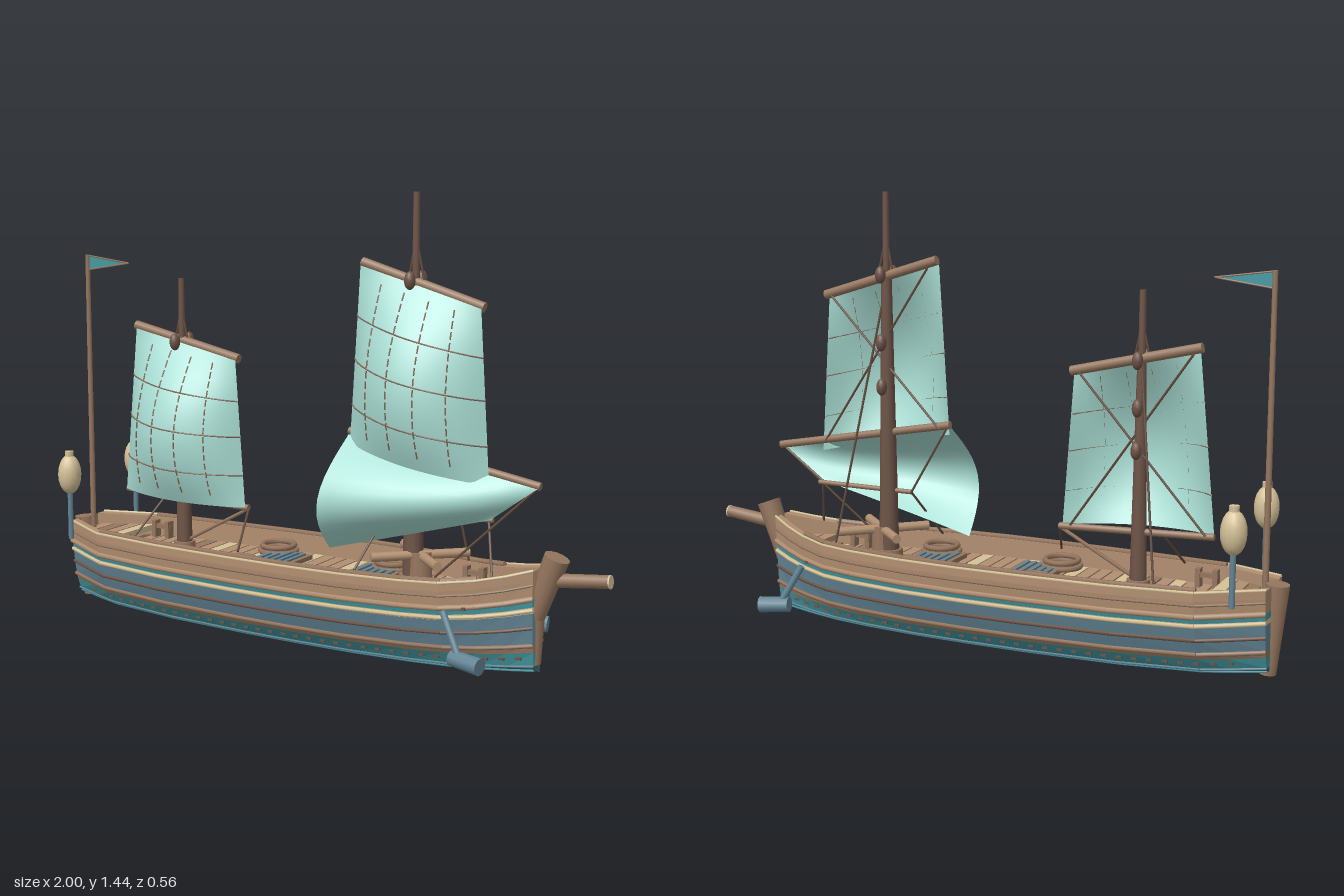
import * as THREE from 'three';
import { mergeGeometries } from 'three/addons/utils/BufferGeometryUtils.js';

const V = (x, y, z) => new THREE.Vector3(x, y, z);

export function createModel() {
  const model = new THREE.Group();
  const colours = {
    sailCloth: 0xaadfd5, teal: 0x43979f, slateBlue: 0x628494, timber: 0x95765e, darkTimber: 0x6e5447,
    cream: 0xd6c298, tan: 0xb18f71, bottomPaint: 0x38606a, seamThread: 0x8a6d5e, rope: 0x664e40,
  };
  const M = {};
  for (const [name, hex] of Object.entries(colours)) {
    M[name] = new THREE.MeshStandardMaterial({ color: hex });
    M[name].name = name;
  }
  for (const n of ['sailCloth', 'teal', 'slateBlue', 'timber', 'cream', 'tan', 'bottomPaint']) M[n].side = THREE.DoubleSide;

  const add = (name, geo, mat, pos) => {
    const m = new THREE.Mesh(geo, mat);
    m.name = name;
    if (pos) m.position.copy(pos);
    model.add(m);
  };
  // Tapered round pole between two points
  const pole = (a, b, r0, r1 = r0, sides = 10) => {
    const d = b.clone().sub(a);
    const g = new THREE.CylinderGeometry(r1, r0, d.length(), sides);
    g.applyQuaternion(new THREE.Quaternion().setFromUnitVectors(V(0, 1, 0), d.normalize()));
    const c = a.clone().add(b).multiplyScalar(0.5);
    return g.translate(c.x, c.y, c.z);
  };
  const addPole = (name, mat, a, b, r0, r1, sides) => add(name, pole(a, b, r0, r1, sides), mat);
  // Chain of poles along a row of points
  const chain = (pts, r) => mergeGeometries(pts.slice(1).map((p, i) => pole(pts[i], p, r, r, 6)));

  // Hull plan: half width at each station
  const plan = [[-0.955, 0], [-0.95, 0.09], [-0.85, 0.14], [-0.76, 0.183], [-0.5, 0.208], [-0.2, 0.22], [0, 0.222],
    [0.2, 0.214], [0.4, 0.188], [0.52, 0.163], [0.62, 0.124], [0.7, 0.086], [0.775, 0.045], [0.785, 0]];
  const width = (x) => {
    let i = 1;
    while (i < plan.length - 1 && plan[i][0] < x) i++;
    const [a, wa] = plan[i - 1], [b, wb] = plan[i];
    return Math.max(0, wa + (wb - wa) * (x - a) / (b - a));
  };
  // Hull section: width factor and height at each level
  const levels = [[0, 0], [0.4, 0.004], [0.55, 0.02], [0.7, 0.06], [0.76, 0.08], [0.85, 0.13],
    [0.9, 0.17], [0.92, 0.187], [0.95, 0.21], [0.99, 0.285]];
  const lift = (x, y) => {
    const f = y / 0.285;
    const sheer = x > 0.45 ? 0.05 * ((x - 0.45) / 0.33) ** 2 : x < -0.7 ? -0.01 * (x + 0.7) / 0.25 : 0;
    return y + 0.03 * Math.abs(x / 0.95) ** 3 * (1 - f) + sheer * f;
  };
  const onHull = (x, k, s, out = 0) => {
    const i = Math.min(Math.floor(k), levels.length - 2), t = k - i;
    const f = levels[i][0] * (1 - t) + levels[i + 1][0] * t, y = levels[i][1] * (1 - t) + levels[i + 1][1] * t;
    return V(x, lift(x, y), s * (width(x) * f + out));
  };
  // Quad strip skinned between two rows of points, wound to face outward on either side
  const strip = (a, b, s) => {
    const pos = [], idx = [];
    a.forEach((p, i) => pos.push(p.x, p.y, p.z, b[i].x, b[i].y, b[i].z));
    for (let i = 0; i < a.length - 1; i++) idx.push(2 * i, 2 * i + 2, 2 * i + 1, 2 * i + 1, 2 * i + 2, 2 * i + 3);
    const g = new THREE.BufferGeometry();
    g.setAttribute('position', new THREE.Float32BufferAttribute(pos, 3));
    g.setIndex(s > 0 ? idx.reverse() : idx);
    const flat = g.toNonIndexed();
    flat.computeVertexNormals();
    return flat;
  };
  const stations = plan.map((p) => p[0]), inner = stations.slice(1, -1);
  const bands = [[0, 1, 'bottomPaint'], [1, 2, 'bottomPaint'], [2, 3, 'teal'], [3, 4, 'timber'], [4, 5, 'slateBlue'],
    [5, 6, 'slateBlue'], [6, 7, 'cream'], [7, 8, 'teal'], [8, 9, 'tan']];
  const wales = [[1.2, 0.004, 'teal'], [2, 0.004, 'slateBlue'], [4, 0.007, 'timber'], [5, 0.006, 'darkTimber'],
    [6.5, 0.007, 'cream'], [8, 0.009, 'tan'], [8.5, 0.004, 'timber']];
  for (const s of [1, -1]) {
    for (const [a, b, mat] of bands) {
      add('hullBand', strip(stations.map((x) => onHull(x, b, s)), stations.map((x) => onHull(x, a, s)), s), M[mat]);
    }
    // Rubbing strakes along the sides
    for (const [k, r, mat] of wales) add('strake', chain(inner.map((x) => onHull(x, k, s, 0.002)), r), M[mat]);
    // Row of studs above the waterline
    const studs = [];
    for (let i = 0; i < 34; i++) {
      const p = onHull(-0.85 + i * 0.048, 2.6, s);
      studs.push(new THREE.BoxGeometry(0.018, 0.008, 0.008).translate(p.x, p.y, p.z));
    }
    add('hullStuds', mergeGeometries(studs), M.darkTimber);
    // Rail cap, its edge, and the inside of the bulwark
    const row = (inset, dy) => inner.map((x) => V(x, lift(x, 0.275) + dy, s * Math.max(0.003, width(x) - inset)));
    add('railCap', strip(row(0.035, 0.012), row(-0.003, 0.012), -s), M.tan);
    add('railEdge', strip(row(-0.003, 0.012), row(-0.003, -0.012), s), M.tan);
    add('bulwarkLining', strip(row(0.035, -0.08), row(0.035, 0.012), s), M.tan);
    add('railTrim', chain(row(0.001, 0.013), 0.005), M.cream);
    // Upper hand rail
    const hand = stations.slice(3, -3).map((x) => V(x, lift(x, 0.29), s * (width(x) - 0.022)));
    add('handRail', chain(hand, 0.01), M.timber);
  }

  // Deck planks laid across, with raised ends
  const plankMats = [M.tan, M.cream, M.tan, M.timber, M.tan, M.cream, M.tan, M.tan];
  const step = 0.043;
  for (let i = 0; i < 39; i++) {
    const x = -0.915 + i * step, end = x < -0.77 || x > 0.6;
    const w = Math.max(0.03, Math.min(width(x - step / 2), width(x + step / 2)) - 0.018);
    add('deckPlank', new THREE.BoxGeometry(step - 0.006, 0.02, 2 * w), plankMats[(i * 3) % 8], V(x, end ? 0.25 : 0.215, 0));
  }
  add('deckBase', new THREE.BoxGeometry(1.4, 0.01, 0.28), M.darkTimber, V(-0.1, 0.216, 0));

  // Hatches with slatted covers
  for (const x of [-0.16, 0.2]) {
    add('hatchFrame', new THREE.BoxGeometry(0.15, 0.02, 0.24), M.timber, V(x, 0.23, 0));
    for (let i = 0; i < 5; i++) {
      add('hatchSlat', new THREE.BoxGeometry(0.013, 0.012, 0.21), M.slateBlue, V(x - 0.052 + i * 0.026, 0.24, 0));
    }
  }
  // Rope coils
  for (const x of [-0.22, 0.22]) for (const z of [-0.12, 0.12]) {
    for (const [r, y] of [[0.062, 0.24], [0.055, 0.258], [0.038, 0.245]]) {
      add('ropeCoil', new THREE.TorusGeometry(r, 0.009, 6, 20).rotateX(Math.PI / 2), M.timber, V(x, y, z));
    }
  }
  // Mooring bitts
  for (const [x, z] of [[-0.71, 0.12], [0.52, 0.1]]) for (const q of [-1, 1]) {
    add('bittBar', new THREE.BoxGeometry(0.075, 0.015, 0.02), M.timber, V(x, 0.265, q * z));
    for (const d of [-0.028, 0.028]) add('bittPost', new THREE.BoxGeometry(0.016, 0.07, 0.03), M.timber, V(x + d, 0.25, q * z));
  }
  // Capstan with crossed bars
  addPole('capstan', M.timber, V(0.38, 0.22, 0), V(0.38, 0.335, 0), 0.04, 0.035);
  for (const q of [-1, 1]) addPole('capstanBar', M.tan, V(0.265, 0.325, -0.11 * q), V(0.495, 0.325, 0.11 * q), 0.015);

  // Bow and stern timbers
  addPole('stem', M.timber, V(0.765, 0.04, 0), V(0.765, 0.22, 0), 0.022, 0.032);
  addPole('stemHead', M.timber, V(0.765, 0.19, 0), V(0.832, 0.375, 0), 0.034, 0.04, 12);
  addPole('bowsprit', M.timber, V(0.79, 0.3, 0), V(0.995, 0.323, 0), 0.022, 0.02);
  addPole('bowspritTip', M.cream, V(0.995, 0.323, 0), V(1, 0.3235, 0), 0.021);
  addPole('sternPost', M.timber, V(-0.94, 0.018, 0), V(-0.963, 0.298, 0), 0.027, 0.037, 12);

  // Stern lanterns and hanging fenders, mirrored
  for (const q of [-1, 1]) {
    addPole('lanternPost', M.slateBlue, V(-0.875, 0.26, q * 0.18), V(-0.875, 0.44, q * 0.18), 0.009);
    add('lantern', new THREE.SphereGeometry(0.04, 14, 10).scale(1, 1.7, 1), M.cream, V(-0.875, 0.485, q * 0.18));
    addPole('lanternCap', M.cream, V(-0.875, 0.53, q * 0.18), V(-0.875, 0.565, q * 0.18), 0.015);
    addPole('fenderArm', M.slateBlue, V(0.565, 0.225, q * 0.215), V(0.635, 0.095, q * 0.243), 0.011);
    addPole('fender', M.slateBlue, V(0.605, 0.095, q * 0.232), V(0.705, 0.088, q * 0.253), 0.025, 0.027);
  }
  // Flag with a thin hem
  addPole('flagPole', M.timber, V(-0.925, 0.25, 0), V(-0.925, 1.225, 0), 0.01, 0.008);
  const pennant = new THREE.Shape([[0, 0.05], [0.18, 0.027], [0, 0]].map((p) => new THREE.Vector2(...p)));
  add('pennant', new THREE.ShapeGeometry(pennant), M.teal, V(-0.925, 1.172, 0));
  for (const y of [1.222, 1.172]) addPole('pennantHem', M.timber, V(-0.925, y, 0), V(-0.745, 1.199, 0), 0.003, 0.003, 5);

  // Masts
  const mast = (x, mid, top, r) => {
    addPole('mast', M.darkTimber, V(x, 0.21, 0), V(x, mid, 0), r, r * 0.5, 12);
    addPole('topMast', M.darkTimber, V(x, mid - 0.02, 0), V(x, top, 0), 0.012, 0.01);
    addPole('mastCollar', M.timber, V(x, 0.22, 0), V(x, 0.26, 0), r * 1.4, r * 1.3, 12);
  };
  mast(0.355, 1.17, 1.44, 0.034);
  mast(-0.525, 0.96, 1.155, 0.028);

  // Billowed sails: corners are top left, top right, bottom left, bottom right
  const sail = (c, bulge, ribs) => {
    const at = (u, v, off = 0) => {
      const e = (i) => (c[0][i] * (1 - u) + c[1][i] * u) * (1 - v) + (c[2][i] * (1 - u) + c[3][i] * u) * v;
      return V(e(0), e(1), 0.014 + bulge(u, v) + off);
    };
    const g = new THREE.PlaneGeometry(1, 1, 14, 12), p = g.attributes.position;
    for (let i = 0; i < p.count; i++) {
      const q = at(p.getX(i) + 0.5, 0.5 - p.getY(i));
      p.setXYZ(i, q.x, q.y, q.z);
    }
    g.computeVertexNormals();
    add('sail', g, M.sailCloth);
    if (!ribs) return;
    const seams = [];
    for (const v of [0.28, 0.52, 0.78]) {
      for (let i = 0; i < 14; i++) seams.push(pole(at(i / 14, v, 0.002), at((i + 1) / 14, v, 0.002), 0.0024, 0.0024, 5));
    }
    for (const u of [0.2, 0.4, 0.6, 0.8]) {
      for (let i = 1; i < 16; i++) seams.push(pole(at(u, i / 17, 0.002), at(u, (i + 0.7) / 17, 0.002), 0.0024, 0.0024, 5));
    }
    add('sailSeams', mergeGeometries(seams), M.seamThread);
  };
  const belly = (depth, k) => (u, v) => depth * Math.sin(Math.PI * u) ** 0.8 * Math.sin(Math.PI * v * k);
  sail([[0.17, 1.215], [0.58, 1.1], [0.135, 0.66], [0.615, 0.57]], belly(0.135, 0.8), true);
  sail([[-0.705, 0.98], [-0.3, 0.895], [-0.76, 0.42], [-0.265, 0.405]], belly(0.13, 0.84), true);
  sail([[0.13, 0.685], [0.77, 0.575], [0.08, 0.32], [0.62, 0.465]],
    (u, v) => 0.15 * (1 - u * u) * Math.sin(Math.PI * v * 0.93), false);

  // Yards and booms
  const spars = [[0.17, 1.225, 0.585, 1.1, 0.016], [-0.715, 0.99, -0.295, 0.897, 0.016], [0.125, 0.695, 0.775, 0.58, 0.013],
    [-0.765, 0.418, -0.26, 0.402, 0.011], [0.27, 0.46, 0.625, 0.462, 0.008]];
  for (const [x0, y0, x1, y1, r] of spars) addPole('yard', M.timber, V(x0, y0, 0), V(x1, y1, 0), r);
  addPole('boomStrut', M.timber, V(-0.5, 0.27, 0), V(-0.26, 0.4, 0), 0.006, 0.006, 6);

  // Rigging
  const ropes = [
    [0.355, 1.3, 0, 0.33, 1.17, 0], [0.355, 1.3, 0, 0.39, 1.15, 0], [-0.525, 1.06, 0, -0.55, 0.95, 0], [-0.525, 1.06, 0, -0.5, 0.94, 0],
    [0.2, 1.2, -0.01, 0.59, 0.61, -0.01], [0.56, 1.1, -0.01, 0.16, 0.68, -0.01],
    [-0.69, 0.97, -0.01, -0.3, 0.41, -0.01], [-0.32, 0.9, -0.01, -0.74, 0.42, -0.01],
    [0.355, 1.15, 0, 0.48, 0.29, -0.14], [-0.525, 0.94, 0, -0.63, 0.29, -0.16],
    [0.77, 0.58, 0, 0.48, 0.29, 0.1], [0.77, 0.58, 0, 0.6, 0.46, 0],
    [0.61, 0.46, 0, 0.66, 0.3, 0.08], [0.14, 0.68, 0, 0.27, 0.46, 0], [0.27, 0.46, 0, 0.23, 0.29, 0.15],
    [-0.6, 0.41, 0, -0.63, 0.29, 0.14], [-0.26, 0.4, 0, -0.21, 0.29, 0.14],
  ];
  add('rigging', mergeGeometries(ropes.map(([a, b, c, d, e, f]) => pole(V(a, b, c), V(d, e, f), 0.004, 0.004, 5))), M.rope);
  // Pulley blocks
  const blocks = [[0.355, 1.175, 0.04], [0.355, 1.175, -0.04], [0.355, 0.955, -0.04], [0.355, 0.81, -0.04],
    [-0.525, 0.945, 0.04], [-0.525, 0.945, -0.04], [-0.525, 0.67, -0.04], [-0.525, 0.8, -0.035]];
  for (const b of blocks) add('pulleyBlock', new THREE.SphereGeometry(0.019, 10, 8).scale(0.9, 1.5, 1), M.darkTimber, V(...b));

  return model;
}
